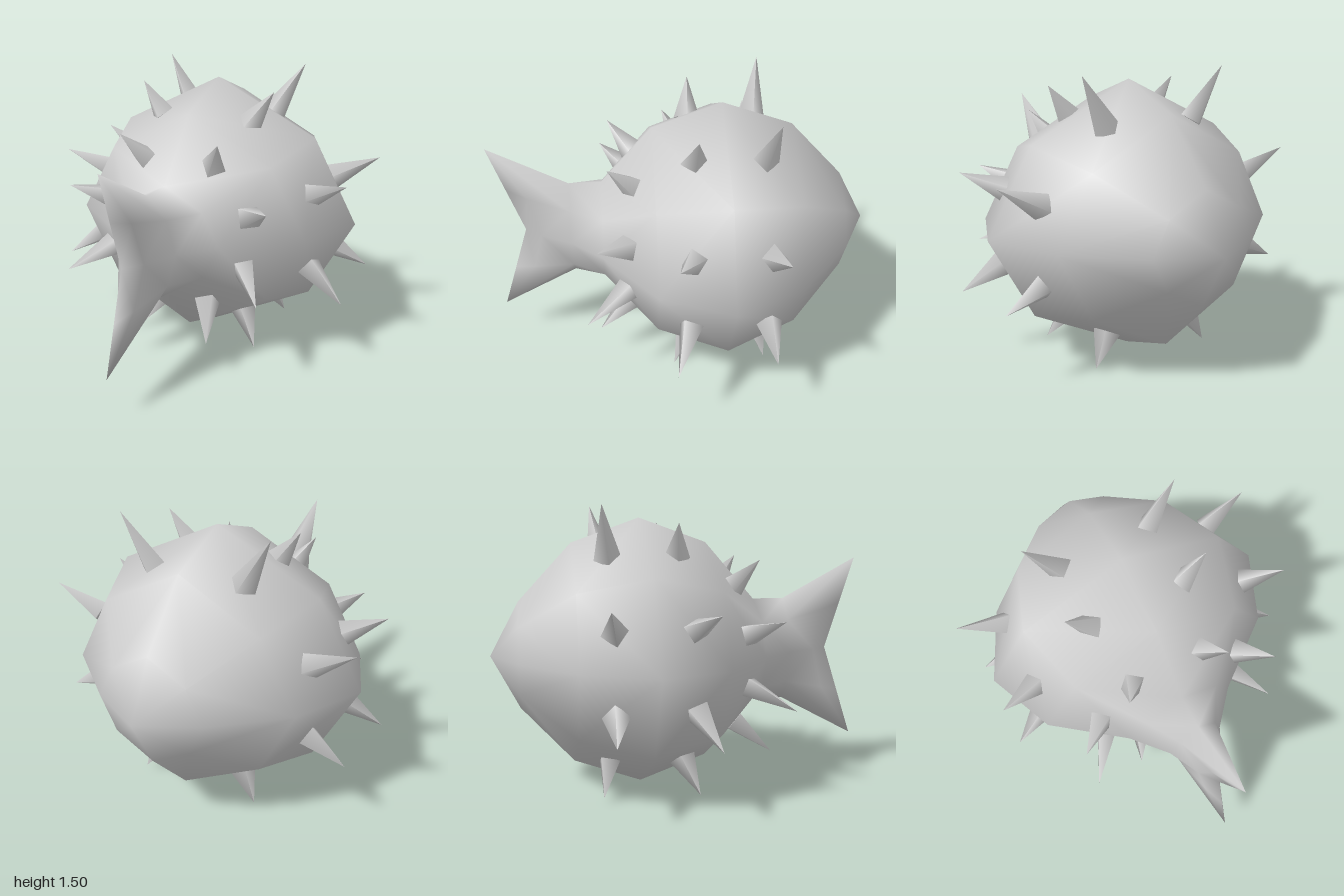
import * as THREE from 'three';
import { mergeVertices } from 'three/addons/utils/BufferGeometryUtils.js';

const MID = 0.725;

// Body cross-sections: [x, y, z] of the side, diagonal and top point, y measured from the mid line
const oval = (z, w, h) => [[w, 0, z], [w * 0.7, h * 0.61, z], [0, h, z]];
const SECTIONS = [
  oval(-1, 0, 0),
  oval(-0.85, 0.29, 0.285),
  oval(-0.57, 0.62, 0.59),
  oval(-0.21, 0.8, 0.72),
  oval(0.15, 0.65, 0.59),
  oval(0.42, 0.3, 0.28),
  oval(0.59, 0.15, 0.28),
  // forked tail fin, closing to a thin trailing edge
  [[0.07, 0, 0.75], [0.045, 0.22, 0.81], [0, 0.5, 1]],
  [[0, 0, 0.84], [0, 0.25, 0.92], [0, 0.5, 1]],
];

// Spikes on the left half: base centre, tip
const SPIKES = [
  [[0.25, 1.24, -0.40], [0.41, 1.51, -0.44]],
  [[0.25, 1.24, -0.05], [0.38, 1.42, -0.06]],
  [[0.19, 1.08, 0.25], [0.27, 1.23, 0.38]],
  [[0.60, 0.91, -0.40], [0.85, 1.04, -0.44]],
  [[0.60, 0.91, -0.03], [0.82, 1.01, 0.06]],
  [[0.40, 0.86, 0.29], [0.55, 0.94, 0.44]],
  [[0.37, 0.60, 0.28], [0.54, 0.49, 0.51]],
  [[0.17, 0.36, 0.28], [0.25, 0.21, 0.46]],
  [[0.62, 0.53, -0.01], [0.83, 0.38, 0.07]],
  [[0.61, 0.52, -0.40], [0.82, 0.42, -0.42]],
  [[0.25, 0.20, -0.02], [0.35, 0.02, 0.06]],
  [[0.25, 0.20, -0.40], [0.34, 0.03, -0.44]],
];

function bodyGeometry() {
  const positions = [], index = [];
  for (const [side, diag, top] of SECTIONS) {
    // mirror the quarter section into a full loop of eight points
    const loop = [
      [side, 1, 1], [diag, 1, 1], [top, 1, 1], [diag, -1, 1],
      [side, -1, 1], [diag, -1, -1], [top, 1, -1], [diag, 1, -1],
    ];
    for (const [p, sx, sy] of loop) positions.push(p[0] * sx, MID + p[1] * sy, p[2]);
  }
  for (let r = 0; r < SECTIONS.length - 1; r++) {
    for (let i = 0; i < 8; i++) {
      const j = (i + 1) % 8;
      const a = r * 8 + i, b = r * 8 + j, c = b + 8, d = a + 8;
      // diagonals run symmetrically in each quarter
      if (i % 2) index.push(a, b, c, a, c, d);
      else index.push(a, b, d, b, c, d);
    }
  }
  let geometry = new THREE.BufferGeometry();
  geometry.setAttribute('position', new THREE.Float32BufferAttribute(positions, 3));
  geometry.setIndex(index);
  geometry = mergeVertices(geometry, 1e-4);
  geometry.computeVertexNormals();
  return geometry;
}

function makeSpike(base, tip, material) {
  const from = new THREE.Vector3(...base), to = new THREE.Vector3(...tip);
  const axis = to.clone().sub(from);
  const mesh = new THREE.Mesh(new THREE.ConeGeometry(0.07, axis.length(), 4), material);
  mesh.quaternion.setFromUnitVectors(new THREE.Vector3(0, 1, 0), axis.clone().normalize());
  mesh.position.copy(from).add(to).multiplyScalar(0.5);
  return mesh;
}

export function createModel() {
  const model = new THREE.Group();
  model.name = 'spikyFish';
  const material = new THREE.MeshStandardMaterial({ color: 0xcccccc });

  // Round body running into the tail fin
  const body = new THREE.Mesh(bodyGeometry(), material);
  body.name = 'bodyAndTail';
  model.add(body);

  // Spikes, mirrored on both sides
  const spikes = new THREE.Group();
  spikes.name = 'spikes';
  for (const [base, tip] of SPIKES) {
    for (const s of [1, -1]) {
      const spike = makeSpike([base[0] * s, base[1], base[2]], [tip[0] * s, tip[1], tip[2]], material);
      spike.name = s > 0 ? 'leftSpike' : 'rightSpike';
      spikes.add(spike);
    }
  }
  model.add(spikes);
  return model;
}
